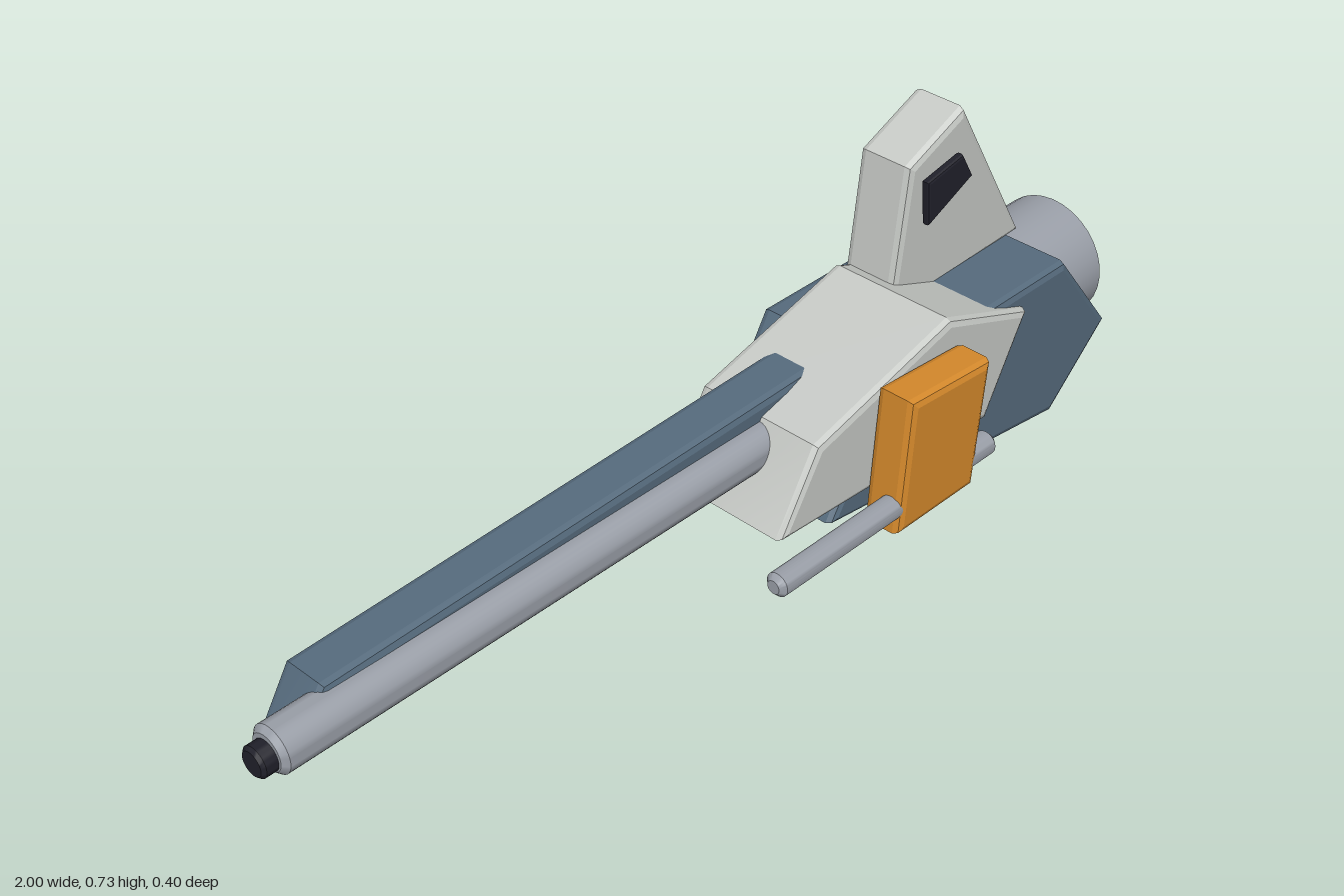
import * as THREE from 'three';
import { toCreasedNormals } from 'three/addons/utils/BufferGeometryUtils.js';

const material = (name, color) => {
  const m = new THREE.MeshStandardMaterial({ color });
  m.name = name;
  return m;
};

export function createModel() {
  const group = new THREE.Group();
  const blue = material('slate blue', 0x566b7d);
  const light = material('light grey', 0xc6c9c5);
  const metal = material('metal grey', 0x9a9fa8);
  const orange = material('orange', 0xd68a2c);
  const dark = material('near black', 0x20202a);

  const add = (name, geometry, mat) => {
    const mesh = new THREE.Mesh(geometry, mat);
    mesh.name = name;
    group.add(mesh);
    return mesh;
  };

  // Side outline extruded from z0 to z1, with bevelled edges kept inside the outline
  const plate = (name, mat, points, z0, z1, bevel = 0.014) => {
    const shape = new THREE.Shape(points.map(([x, y]) => new THREE.Vector2(x, y)));
    const geometry = new THREE.ExtrudeGeometry(shape, {
      depth: z1 - z0 - 2 * bevel,
      bevelThickness: bevel, bevelSize: bevel, bevelOffset: -bevel, bevelSegments: 2,
    });
    geometry.translate(0, 0, z0 + bevel);
    return add(name, toCreasedNormals(geometry, 0.3), mat);
  };

  // Round bar along x with chamfered ends
  const bar = (name, mat, x0, x1, y, z, r, c = 0.01) => {
    const profile = [[0, x0], [r - c, x0], [r, x0 + c], [r, x1 - c], [r - c, x1], [0, x1]];
    const geometry = new THREE.LatheGeometry(profile.map(([a, b]) => new THREE.Vector2(a, b)), 32);
    geometry.rotateZ(-Math.PI / 2);
    const mesh = add(name, toCreasedNormals(geometry, 0.5), mat);
    mesh.position.set(0, y, z);
    return mesh;
  };

  // Body
  plate('hull', blue, [[0.14, 0.16], [0.77, 0.077], [0.922, 0.215], [0.775, 0.406], [0.29, 0.406]], -0.2, 0.1);
  plate('upperShell', light, [[-0.01, 0.22], [0.54, 0.19], [0.642, 0.375], [0.42, 0.46], [0.08, 0.37]], -0.15, 0.12);

  // Fins
  plate('topFin', light, [[0.44, 0.39], [0.48, 0.67], [0.625, 0.732], [0.81, 0.405]], -0.15, -0.035);
  plate('finWindow', dark, [[0.505, 0.557], [0.622, 0.61], [0.592, 0.663], [0.498, 0.645]], -0.025, -0.008, 0.005);
  plate('bottomFin', metal, [[0.45, 0.13], [0.68, 0], [0.83, 0.06], [0.74, 0.13]], -0.1, -0.015);

  // Nose boom and barrel
  plate('boom', blue, [[-0.915, 0.284], [0.3, 0.243], [0.3, 0.405], [-0.86, 0.374]], -0.105, -0.01);
  bar('barrel', metal, -0.972, 0.2, 0.32, -0.012, 0.043);
  bar('muzzle', dark, -1, -0.95, 0.316, -0.012, 0.028, 0.006);

  // Rear engine
  bar('engine', metal, 0.7, 0.975, 0.266, -0.072, 0.122, 0.012);
  bar('exhaust', dark, 0.95, 1, 0.266, -0.072, 0.083, 0.005);

  // Side pod with its rod
  plate('sidePod', orange, [[0.2, 0.157], [0.405, 0.157], [0.435, 0.408], [0.225, 0.423]], 0.12, 0.2);
  bar('podRod', metal, -0.09, 0.475, 0.205, 0.175, 0.023);

  return group;
}
